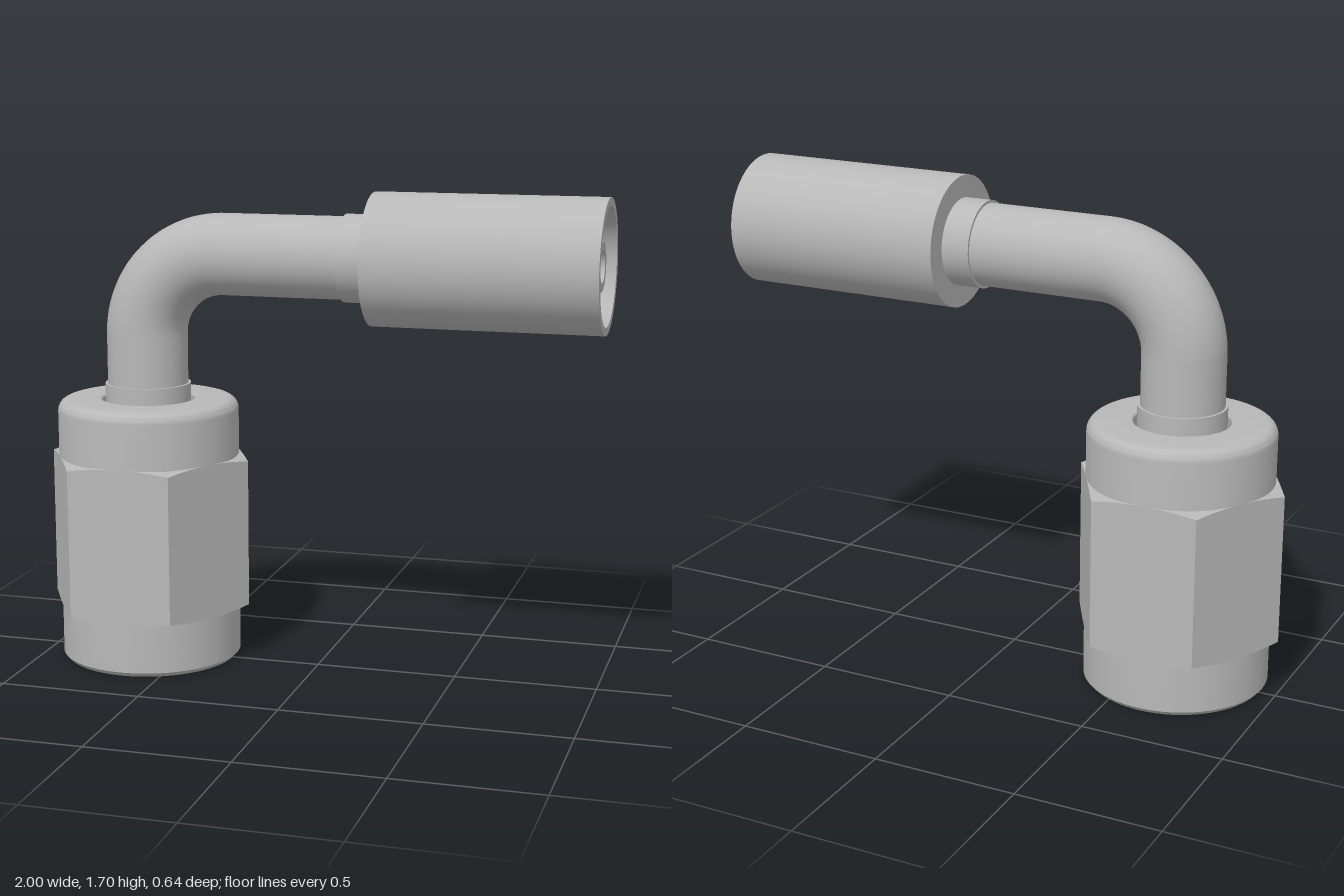
import * as THREE from 'three';
import { toCreasedNormals } from 'three/addons/utils/BufferGeometryUtils.js';

const NUT_X = -0.63;   // axis of the vertical leg
const TUBE_Y = 1.467;  // axis of the horizontal leg
const BORE = 0.055;
const SEGMENTS = 72;

// Spin a [radius, height] profile, keeping hard edges sharp
function turned(points) {
  const profile = points.map(([r, y]) => new THREE.Vector2(r, y));
  return toCreasedNormals(new THREE.LatheGeometry(profile, SEGMENTS), 0.6);
}

// Hexagonal band whose ends are bevelled by a shallow cone
function hexBand(y0, y1, apothem) {
  const inner = apothem - 0.02;
  const profile = [[inner, y0], [apothem, y0], [apothem, y1], [inner, y1]]
    .map(([r, y]) => new THREE.Vector2(r, y));
  const geometry = new THREE.LatheGeometry(profile, SEGMENTS);
  const p = geometry.attributes.position;
  const mid = (y0 + y1) / 2;
  for (let i = 0; i < p.count; i++) {
    const x = p.getX(i), y = p.getY(i), z = p.getZ(i);
    if (Math.hypot(x, z) < apothem - 0.01) continue;
    const angle = Math.atan2(x, z);
    const toFlat = angle - Math.round(angle / (Math.PI / 3)) * (Math.PI / 3);
    const grow = 1 / Math.cos(toFlat);
    const drop = (grow - 1) * apothem * 0.3;
    p.setXYZ(i, x * grow, y + (y > mid ? -drop : drop), z * grow);
  }
  return toCreasedNormals(geometry, 0.6);
}

// Centre line: up, round a quarter bend, then along +x
function centreLine(yStart, xEnd) {
  const bend = 0.29;
  const cx = NUT_X + bend, cy = TUBE_Y - bend;
  const k = bend * 0.5523;
  const path = new THREE.CurvePath();
  const v = (x, y) => new THREE.Vector3(x, y, 0);
  path.add(new THREE.LineCurve3(v(NUT_X, yStart), v(NUT_X, cy)));
  path.add(new THREE.CubicBezierCurve3(v(NUT_X, cy), v(NUT_X, cy + k), v(cx - k, TUBE_Y), v(cx, TUBE_Y)));
  path.add(new THREE.LineCurve3(v(cx, TUBE_Y), v(xEnd, TUBE_Y)));
  return path;
}

export function createModel() {
  const steel = new THREE.MeshStandardMaterial({ color: 0xb8b8b8 });
  steel.name = 'steel';
  const boreSteel = steel.clone();
  boreSteel.side = THREE.BackSide;
  boreSteel.name = 'steel bore';

  const model = new THREE.Group();
  model.name = 'elbowHoseFitting';
  const add = (name, geometry, parent = model, material = steel) => {
    const mesh = new THREE.Mesh(geometry, material);
    mesh.name = name;
    parent.add(mesh);
    return mesh;
  };

  // Swivel nut: hollow body with rounded shoulder, plus the hex
  const nut = new THREE.Group();
  nut.name = 'swivelNut';
  nut.position.x = NUT_X;
  model.add(nut);
  const R = 0.322, top = 0.945, round = 0.04;
  const shoulder = [];
  for (let i = 0; i <= 8; i++) {
    const a = (i / 8) * Math.PI / 2;
    shoulder.push([R - round + round * Math.cos(a), top - round + round * Math.sin(a)]);
  }
  add('nutBody', turned([
    [0.24, 0.035], [0.275, 0], [0.308, 0], [R, 0.016],
    ...shoulder,
    [0.17, top], [0.165, 0.94], [0.165, 0.75], [0.24, 0.72], [0.24, 0.035],
  ]), nut);
  add('nutHex', hexBand(0.189, 0.746, R), nut);

  // Stem inside the nut, with a conical seat and a collar above the nut
  add('stem', turned([
    [BORE, 0.64], [0.2, 0.5], [0.225, 0.5], [0.225, 0.66],
    [0.152, 0.72], [0.152, 1.0], [0.14, 1.0],
  ]), nut);

  // Bent tube and its through bore
  add('bentTube', new THREE.TubeGeometry(centreLine(0.9, 0.15), 110, 0.143, 56));
  add('tubeBore', new THREE.TubeGeometry(centreLine(0.64, 0.98), 130, BORE, 32), model, boreSteel);

  // Hose end, turned about the horizontal axis
  const hoseEnd = new THREE.Group();
  hoseEnd.name = 'hoseEnd';
  hoseEnd.position.y = TUBE_Y;
  hoseEnd.rotation.z = -Math.PI / 2;
  model.add(hoseEnd);
  add('collar', turned([[0.14, 0.1], [0.152, 0.1], [0.152, 0.22]]), hoseEnd);
  add('crimpSleeve', turned([
    [0.1, 0.2], [0.23, 0.2], [0.23, 1.0], [0.202, 1.0], [0.172, 0.9], [0.172, 0.27], [0.06, 0.27],
  ]), hoseEnd);
  add('hoseNipple', turned([
    [0.095, 0.26], [0.095, 0.965], [0.083, 0.98], [BORE, 0.98],
  ]), hoseEnd);

  return model;
}
